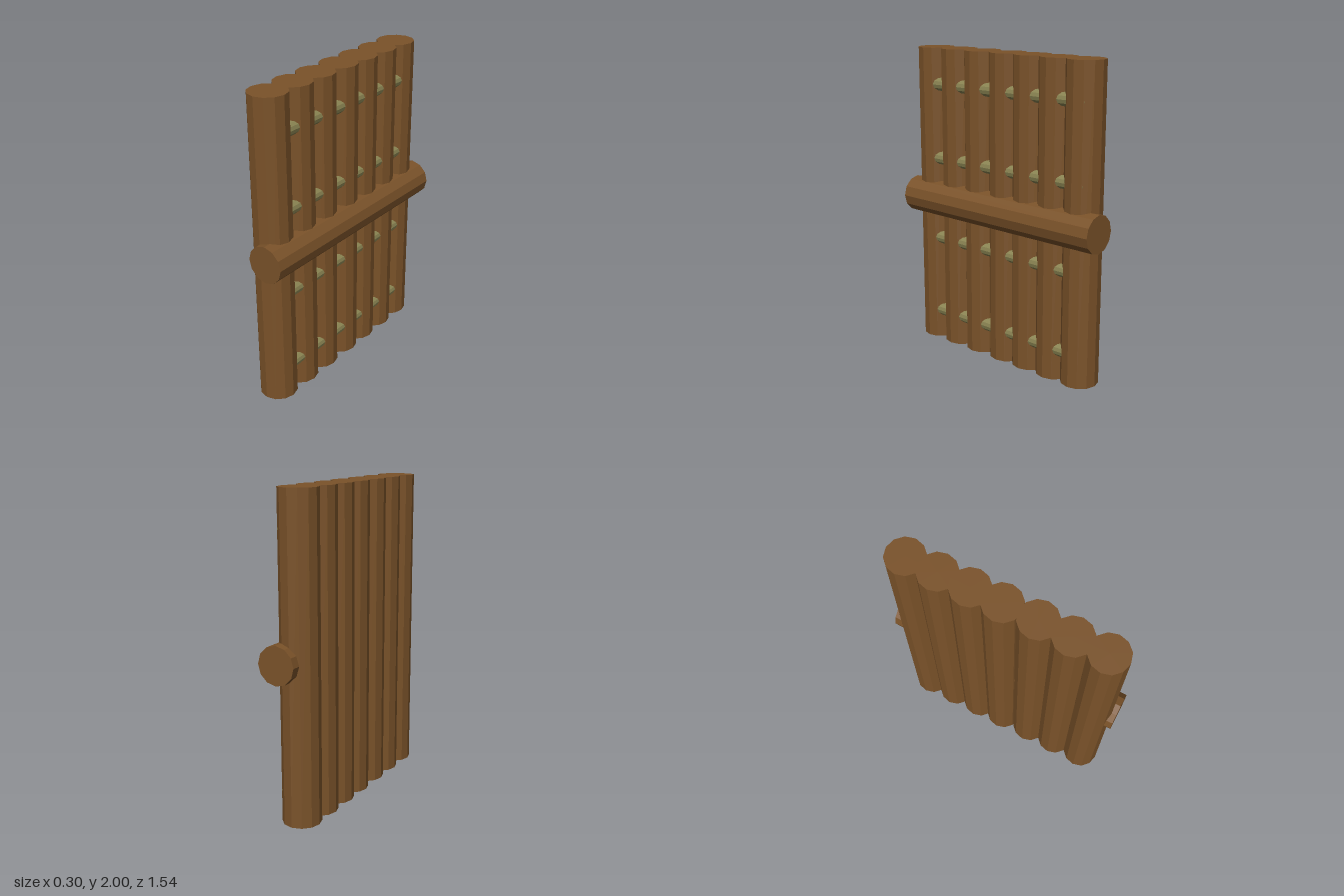
import * as THREE from 'three';

const wood = new THREE.MeshStandardMaterial({ color: 0x7a5229, flatShading: true });
const fibre = new THREE.MeshStandardMaterial({ color: 0x8a8452, flatShading: true });

// Twelve-sided round bar; stands upright, or lies along z
function bar(name, radius, length, material, alongZ = false) {
  const geometry = new THREE.CylinderGeometry(radius, radius, length, 12);
  if (alongZ) geometry.rotateX(Math.PI / 2);
  const mesh = new THREE.Mesh(geometry, material);
  mesh.name = name;
  return mesh;
}

export function createModel() {
  const model = new THREE.Group();
  model.name = 'logWall';

  // Row of upright logs, slightly unevenly spaced
  const logs = new THREE.Group();
  logs.name = 'logs';
  [0.62, 0.41, 0.205, -0.01, -0.205, -0.405, -0.605].forEach((z, i) => {
    const log = bar(`log${i + 1}`, 0.12, 2, wood);
    log.position.set(-0.031, 1, z);
    logs.add(log);
  });
  model.add(logs);

  // Horizontal crossbeam
  const beam = bar('crossbeam', 0.12, 1.54, wood, true);
  beam.position.set(0.031, 1, 0);
  model.add(beam);

  // Ropes threaded through the logs, showing in the gaps
  const ropes = new THREE.Group();
  ropes.name = 'ropes';
  [0.2, 0.725, 1.275, 1.765].forEach((y, i) => {
    const rope = bar(`rope${i + 1}`, 0.045, 1.34, fibre, true);
    rope.position.set(0.025, y, 0);
    ropes.add(rope);
  });
  model.add(ropes);

  return model;
}
